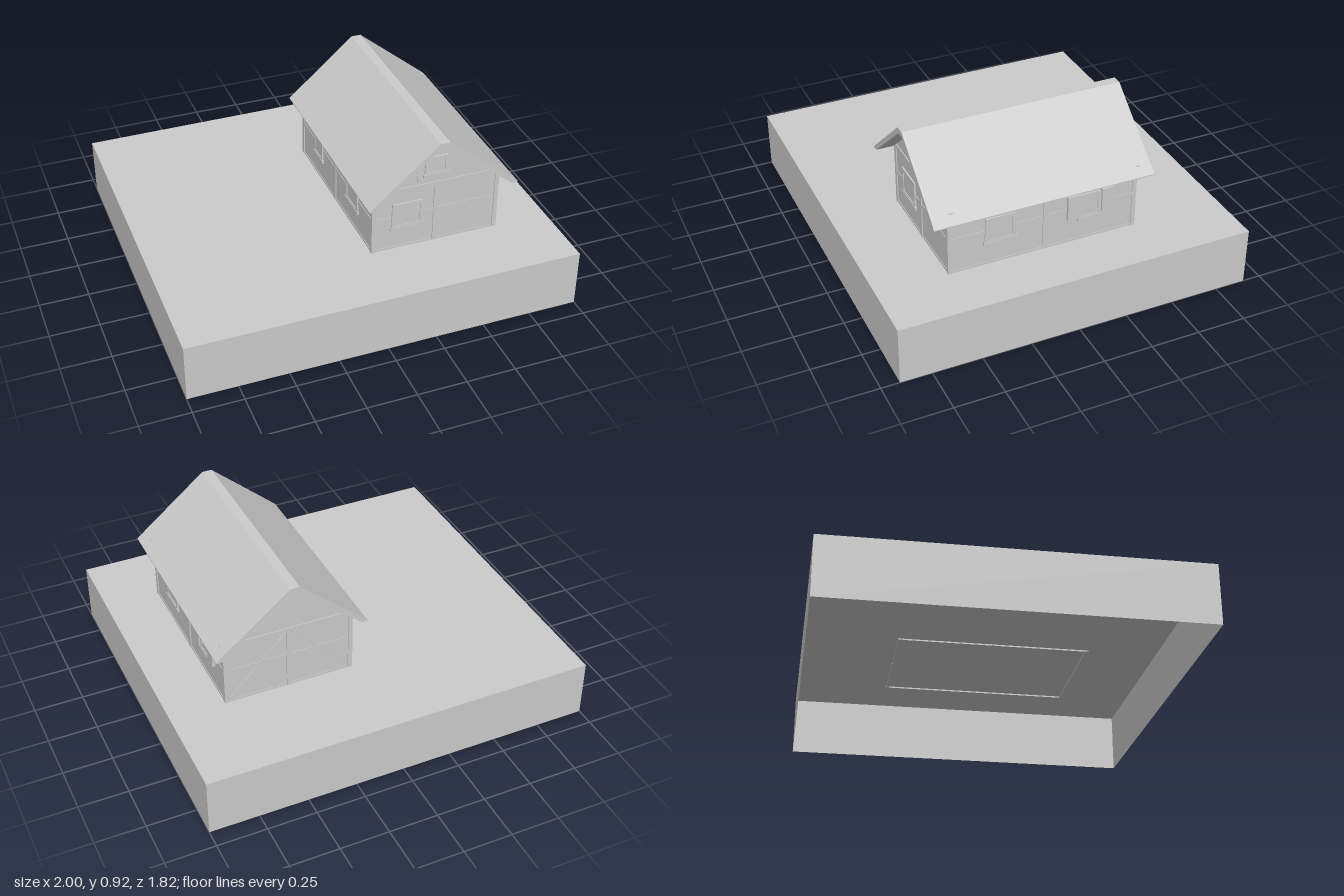
import * as THREE from 'three';

const GROUND = 0.3, CX = 0.385, CZ = 0.06; // ground height and house centre
const HALF_W = 0.33, HALF_L = 0.485;       // wall core half sizes
const mat = new THREE.MeshStandardMaterial({ color: 0xcccccc, flatShading: true, side: THREE.DoubleSide });

function add(parent, name, geometry, x = 0, y = 0, z = 0) {
  const mesh = new THREE.Mesh(geometry, mat);
  mesh.name = name;
  mesh.position.set(x, y, z);
  parent.add(mesh);
  return mesh;
}

// Box given by its extents on a wall face: u across, y up, d outward
function slab(parent, name, u0, u1, y0, y1, d = 0.005) {
  return add(parent, name, new THREE.BoxGeometry(u1 - u0, y1 - y0, d + 0.01),
    (u0 + u1) / 2, (y0 + y1) / 2, (d - 0.01) / 2);
}

function polygon(points) {
  return new THREE.Shape(points.map(([x, y]) => new THREE.Vector2(x, y)));
}

function extrude(shape, depth) {
  return new THREE.ExtrudeGeometry(shape, { depth, bevelEnabled: false });
}

// Wall face group whose local +z points out of the house
function wallFace(house, name, x, z, angle) {
  const face = new THREE.Group();
  face.name = name;
  face.position.set(x, 0, z);
  face.rotation.y = angle;
  house.add(face);
  return face;
}

// Frame with an opening, pane and sill; optional pair of shutters
function windowUnit(face, u, w, y0, y1, shutters = false) {
  const g = new THREE.Group();
  g.name = 'window';
  face.add(g);
  const h = w / 2, b = 0.02;
  const frame = polygon([[u - h, y0], [u + h, y0], [u + h - 0.005, y1], [u - h + 0.005, y1]]);
  frame.holes.push(polygon([[u - h + b, y0 + b], [u - h + b, y1 - b], [u + h - b, y1 - b], [u + h - b, y0 + b]]));
  add(g, 'windowFrame', extrude(frame, 0.008));
  slab(g, 'windowPane', u - h + b / 2, u + h - b / 2, y0 + b / 2, y1 - b / 2, 0.004);
  slab(g, 'windowSill', u - h - 0.005, u + h + 0.005, y0 - 0.005, y0 + 0.012, 0.011);
  if (shutters) for (const s of [-1, 1]) {
    const c = u + s * (h + 0.03);
    slab(g, 'shutter', c - 0.032, c + 0.032, 0.433, 0.563, 0.016);
  }
}

// Corner posts, middle post and horizontal rails of one wall
function timberFrame(face, half, mid) {
  for (const s of [-1, 1]) slab(face, 'cornerPost', s * half - 0.011 - s * 0.006, s * half + 0.011 - s * 0.006, 0.293, 0.62);
  slab(face, 'middlePost', mid - 0.0125, mid + 0.0125, 0.293, 0.63);
  slab(face, 'middleRail', -half, half, 0.472, 0.492, 0.003);
  slab(face, 'groundSill', -half, half, 0.293, 0.312, 0.003);
}

function buildHouse() {
  const house = new THREE.Group();
  house.name = 'house';

  // Walls and both gables as one solid
  const section = polygon([
    [CX - HALF_W, GROUND], [CX + HALF_W, GROUND], [CX + HALF_W, 0.63],
    [0.395, 0.89], [0.36, 0.89], [CX - HALF_W, 0.63]]);
  add(house, 'walls', extrude(section, HALF_L * 2), 0, 0, CZ - HALF_L);

  // Roof shell with a narrow flat ridge
  const roof = polygon([
    [0.0, 0.607], [0.0, 0.612], [0.35, 0.915], [0.4, 0.915], [0.775, 0.61], [0.775, 0.605], [0.745, 0.605],
    [0.393, 0.887], [0.358, 0.887], [0.03, 0.607]]);
  add(house, 'roof', extrude(roof, 1.125), 0, 0, -0.49);
  for (const z of [-0.425, 0.535]) // plate ends just showing through the roof
    add(house, 'plateEnd', new THREE.BoxGeometry(0.012, 0.016, 0.024), 0.727, 0.64, z);

  // Long side walls, mirrored
  for (const s of [1, -1]) {
    const side = wallFace(house, s > 0 ? 'leftWall' : 'rightWall', CX + s * HALF_W, CZ, s * Math.PI / 2);
    const u = z => -s * (z - CZ);
    timberFrame(side, HALF_L, u(0.052));
    windowUnit(side, u(0.285), 0.16, 0.415, 0.555);
    windowUnit(side, u(-0.182), 0.12, 0.415, 0.555, s > 0);
  }

  // Front gable wall
  const front = wallFace(house, 'frontWall', CX, CZ + HALF_L, 0);
  timberFrame(front, HALF_W, 0);
  slab(front, 'tieBeam', -HALF_W, HALF_W, 0.624, 0.645);
  windowUnit(front, -0.15, 0.17, 0.415, 0.56);

  // Gable surround with its small window
  const surround = polygon([
    [-0.105, 0.66], [0.09, 0.66], [0.09, 0.725], [0.03, 0.85], [0.01, 0.87],
    [-0.025, 0.87], [-0.045, 0.85], [-0.105, 0.725]]);
  add(front, 'gableSurround', extrude(surround, 0.004));
  const attic = new THREE.Group();
  attic.name = 'atticWindow';
  attic.position.z = 0.004;
  front.add(attic);
  windowUnit(attic, -0.008, 0.125, 0.69, 0.795);

  // Back wall with braces rising to the middle post
  const back = wallFace(house, 'backWall', CX, CZ - HALF_L, Math.PI);
  timberFrame(back, HALF_W, 0);
  slab(back, 'tieBeam', -HALF_W, HALF_W, 0.624, 0.645);
  for (const s of [-1, 1]) {
    const pts = [[0.015, 0.6], [0.015, 0.622], [0.31, 0.325], [0.31, 0.303]];
    add(back, 'brace', extrude(polygon(pts.map(([x, y]) => [s * x, y])), 0.004));
  }
  return house;
}

export function createModel() {
  const model = new THREE.Group();
  model.name = 'houseOnPlot';

  // Plot: box shell without its underside
  const plot = new THREE.BoxGeometry(2, GROUND, 1.815);
  plot.setIndex([...plot.index.array].filter((_, i) => i < 18 || i >= 24));
  plot.clearGroups();
  add(model, 'plot', plot, 0, GROUND / 2, 0);

  model.add(buildHouse());
  return model;
}
